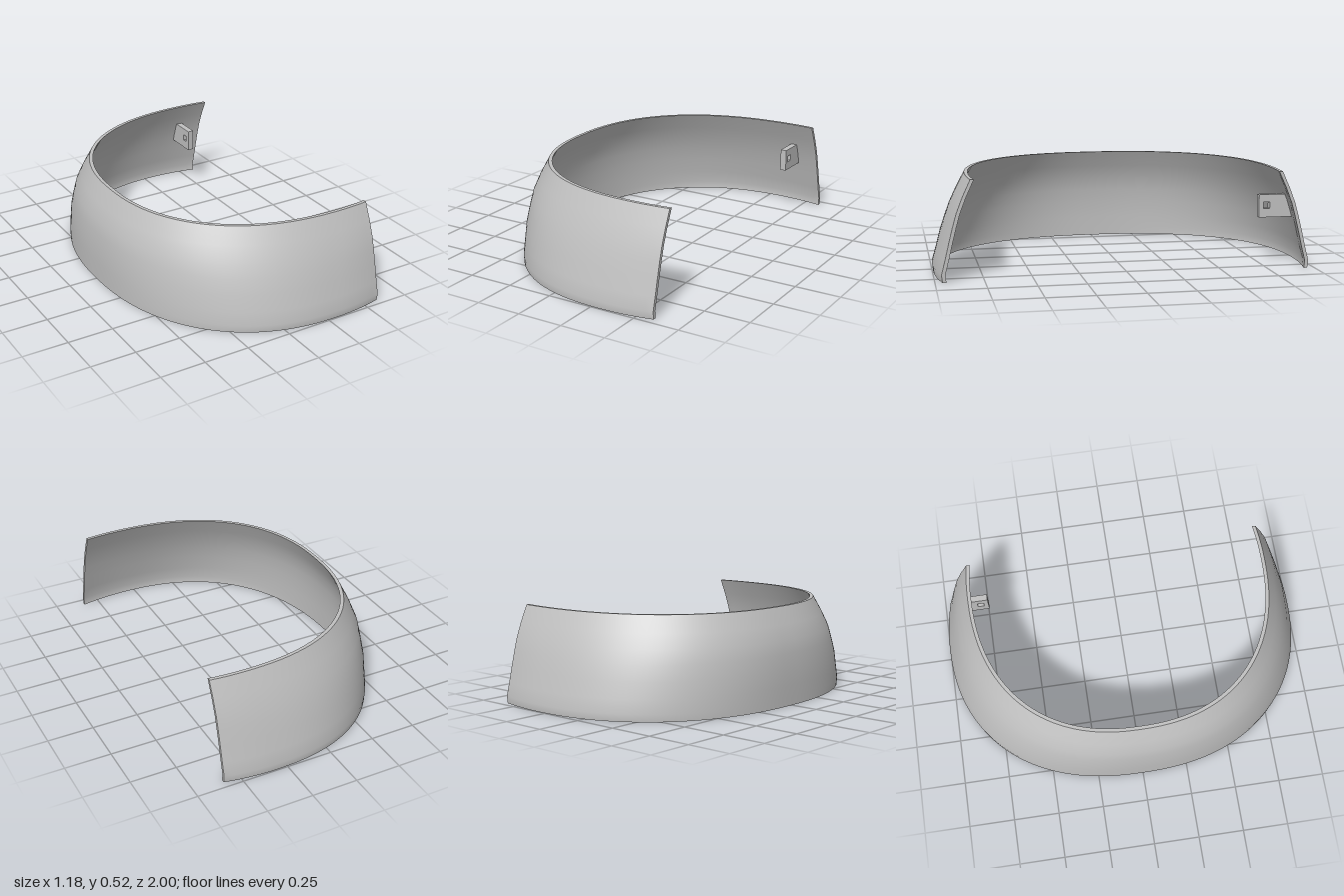
import * as THREE from 'three';

const END_X = 0.59;      // plane where both arms are cut off
const THICK = 0.019;     // wall thickness
const ARC_STEPS = 96;
const ROUNDNESS = 2 / 2.3; // exponent that squares off the closed side of the arc slightly

// Wall rings from bottom to top: height, leftmost x, arc centre x, half depth in z
const RINGS = [
  [0.00, -0.590, 0.31, 0.995],
  [0.04, -0.590, 0.31, 1.000],
  [0.11, -0.590, 0.315, 0.980],
  [0.20, -0.588, 0.32, 0.957],
  [0.28, -0.578, 0.34, 0.932],
  [0.35, -0.567, 0.36, 0.908],
  [0.43, -0.535, 0.38, 0.873],
  [0.52, -0.490, 0.40, 0.828],
];

// Point on the wall: u runs -1..1 from the back arm to the front arm
function wallPoint([y, left, cx, depth], u, inset) {
  const rx = cx - left - inset;
  const farRx = 1.1 - inset;
  const phi = u * (Math.PI / 2 + Math.asin((END_X - cx) / farRx));
  const c = Math.cos(phi), s = Math.sin(phi);
  const rz = depth - inset;
  if (c <= 0) return new THREE.Vector3(cx - c * farRx, y, rz * s);
  return new THREE.Vector3(
    cx - rx * c ** ROUNDNESS, y, rz * Math.sign(s) * Math.abs(s) ** ROUNDNESS);
}

// Joins equal-length rows of points into a smooth surface
function surface(rows, flip) {
  const n = rows[0].length;
  const index = [];
  for (let r = 0; r < rows.length - 1; r++) {
    for (let i = 0; i < n - 1; i++) {
      const a = r * n + i, b = a + 1, c = a + n, d = c + 1;
      if (flip) index.push(a, c, b, b, c, d);
      else index.push(a, b, c, b, d, c);
    }
  }
  const geo = new THREE.BufferGeometry().setFromPoints(rows.flat());
  geo.setIndex(index);
  geo.computeVertexNormals();
  return geo;
}

export function createModel() {
  const model = new THREE.Group();
  model.name = 'curvedBand';
  const grey = new THREE.MeshStandardMaterial({ color: 0xc0c0c0 });
  grey.name = 'plain grey';

  const add = (name, geo) => {
    const mesh = new THREE.Mesh(geo, grey);
    mesh.name = name;
    model.add(mesh);
  };

  const arc = (ring, inset) =>
    Array.from({ length: ARC_STEPS + 1 }, (_, i) => wallPoint(ring, (2 * i) / ARC_STEPS - 1, inset));
  const column = (u, inset) => RINGS.map((ring) => wallPoint(ring, u, inset));
  const top = RINGS[RINGS.length - 1];

  // Wall faces
  add('outerWall', surface(RINGS.map((r) => arc(r, 0)), false));
  add('innerWall', surface(RINGS.map((r) => arc(r, THICK)), true));

  // Rims and the cut ends of the two arms, which face +x
  add('topRim', surface([arc(top, 0), arc(top, THICK)], false));
  add('bottomRim', surface([arc(RINGS[0], 0), arc(RINGS[0], THICK)], true));
  add('backArmEnd', surface([column(-1, 0), column(-1, THICK)], false));
  add('frontArmEnd', surface([column(1, 0), column(1, THICK)], true));

  // Small lug with a square hole on the inside of the back arm
  const lug = new THREE.Shape([
    new THREE.Vector2(0.73, 0.257), new THREE.Vector2(0.918, 0.257),
    new THREE.Vector2(0.876, 0.38), new THREE.Vector2(0.73, 0.38),
  ]);
  lug.holes.push(new THREE.Path([
    new THREE.Vector2(0.755, 0.304), new THREE.Vector2(0.755, 0.34),
    new THREE.Vector2(0.79, 0.34), new THREE.Vector2(0.79, 0.304),
  ]));
  const lugGeo = new THREE.ExtrudeGeometry(lug, { depth: 0.035, bevelEnabled: false });
  lugGeo.rotateY(Math.PI / 2).translate(0.428, 0, 0);
  add('lug', lugGeo);

  return model;
}
